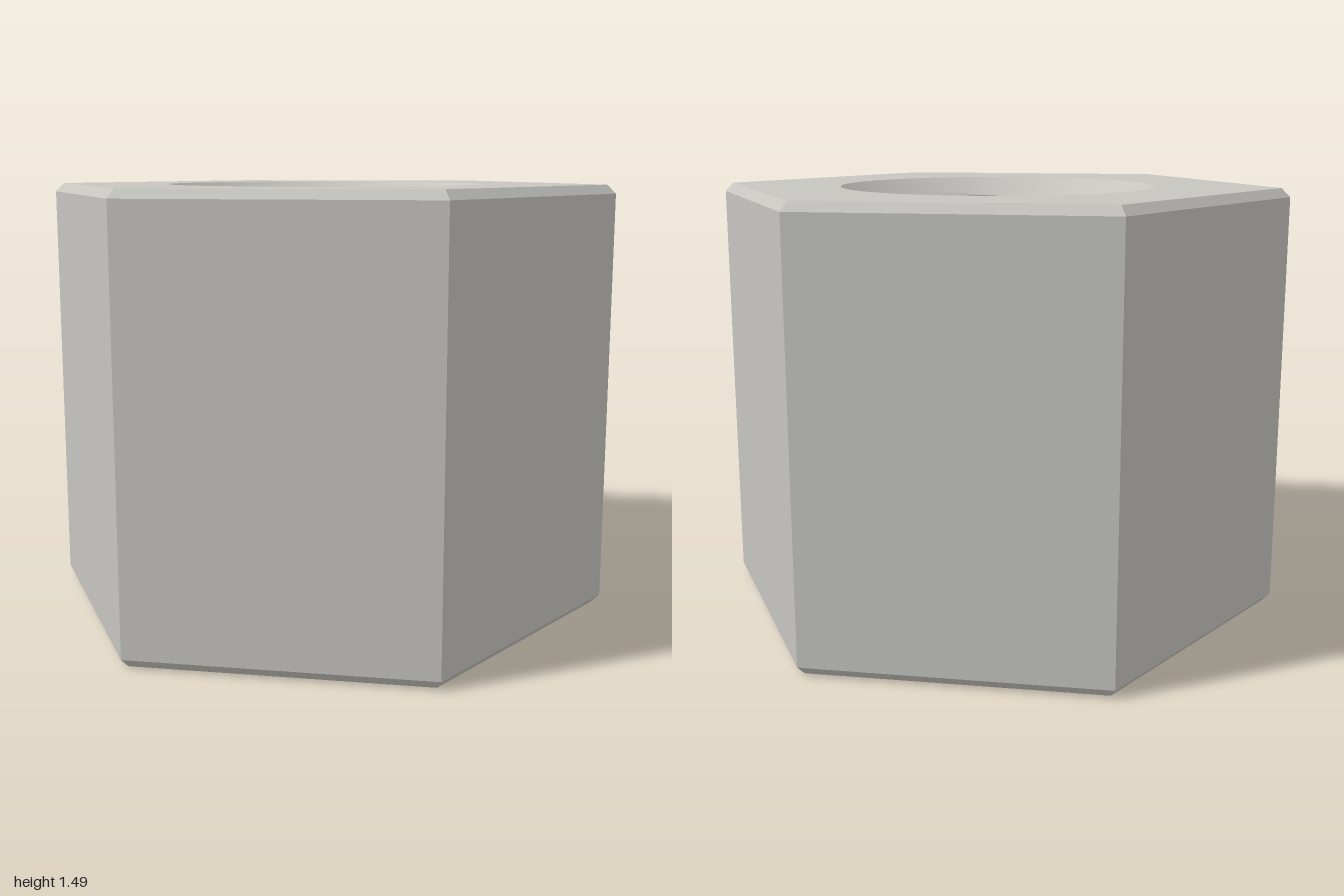
import * as THREE from 'three';
import { toCreasedNormals } from 'three/addons/utils/BufferGeometryUtils.js';

const HEIGHT = 1.485;
const CHAMFER = 0.03;
const MINOR = 0.403, MAJOR = 0.498; // thread crest and root radii
const MOUTH = 0.545;                // countersink radius at the faces
const PITCH = 0.173;
const SEGMENTS = 120;
const STEPS = 16;                   // rows per thread turn

// Thread radius for a phase in sixteenths of a pitch: crest, flank, root, flank
function threadRadius(step) {
  const s = ((step % STEPS) + STEPS) % STEPS;
  const depth = MAJOR - MINOR;
  if (s <= 4) return MINOR;
  if (s < 9) return MINOR + depth * (s - 4) / 5;
  if (s <= 11) return MAJOR;
  return MAJOR - depth * (s - 11) / 5;
}

// Right-handed helical bore, opened by a 45 degree countersink at both ends
function boreGeometry() {
  const start = HEIGHT - (MOUTH - MINOR);
  const first = -STEPS * Math.ceil((start + PITCH) / PITCH);
  const last = STEPS;
  const point = (j, i) => {
    const angle = (j / SEGMENTS) * Math.PI * 2;
    const rise = start + PITCH * (j / SEGMENTS + i / STEPS);
    const y = THREE.MathUtils.clamp(rise, 0, HEIGHT);
    const r = Math.max(threadRadius(i), MOUTH - y, MOUTH - (HEIGHT - y));
    return new THREE.Vector3(r * Math.cos(angle), y, -r * Math.sin(angle));
  };
  const positions = [];
  const area = new THREE.Triangle();
  const addTriangle = (a, b, c) => {
    area.set(a, b, c);
    if (area.getArea() > 1e-8) {
      for (const p of [a, b, c]) positions.push(p.x, p.y, p.z);
    }
  };
  for (let j = 0; j < SEGMENTS; j++) {
    for (let i = first; i < last; i++) {
      const a = point(j, i), b = point(j + 1, i);
      const c = point(j + 1, i + 1), d = point(j, i + 1);
      addTriangle(a, c, b);
      addTriangle(a, d, c);
    }
  }
  const geometry = new THREE.BufferGeometry();
  geometry.setAttribute('position', new THREE.Float32BufferAttribute(positions, 3));
  return toCreasedNormals(geometry, 0.5);
}

// Six flat sides with chamfered rims
function sidesGeometry() {
  const profile = [
    [1 - CHAMFER, 0], [1, CHAMFER], [1, HEIGHT - CHAMFER], [1 - CHAMFER, HEIGHT],
  ].map(([r, y]) => new THREE.Vector2(r, y));
  return toCreasedNormals(new THREE.LatheGeometry(profile, 6, Math.PI / 2), 0.3);
}

// Hexagonal end face with a round opening
function faceGeometry() {
  const ring = (radius, count) => Array.from({ length: count }, (_, k) => {
    const a = (k / count) * Math.PI * 2;
    return new THREE.Vector2(radius * Math.cos(a), radius * Math.sin(a));
  });
  const shape = new THREE.Shape(ring(1 - CHAMFER, 6));
  shape.holes.push(new THREE.Path(ring(MOUTH, SEGMENTS)));
  return new THREE.ShapeGeometry(shape);
}

export function createModel() {
  const group = new THREE.Group();
  group.name = 'hexNut';
  const steel = new THREE.MeshStandardMaterial({ color: 0xc6c5c0 });
  steel.name = 'steel grey';

  const add = (name, geometry) => {
    const mesh = new THREE.Mesh(geometry, steel);
    mesh.name = name;
    group.add(mesh);
    return mesh;
  };

  add('hexSides', sidesGeometry());
  add('threadedBore', boreGeometry());
  add('topFace', faceGeometry().rotateX(-Math.PI / 2).translate(0, HEIGHT, 0));
  add('bottomFace', faceGeometry().rotateX(Math.PI / 2));
  return group;
}
